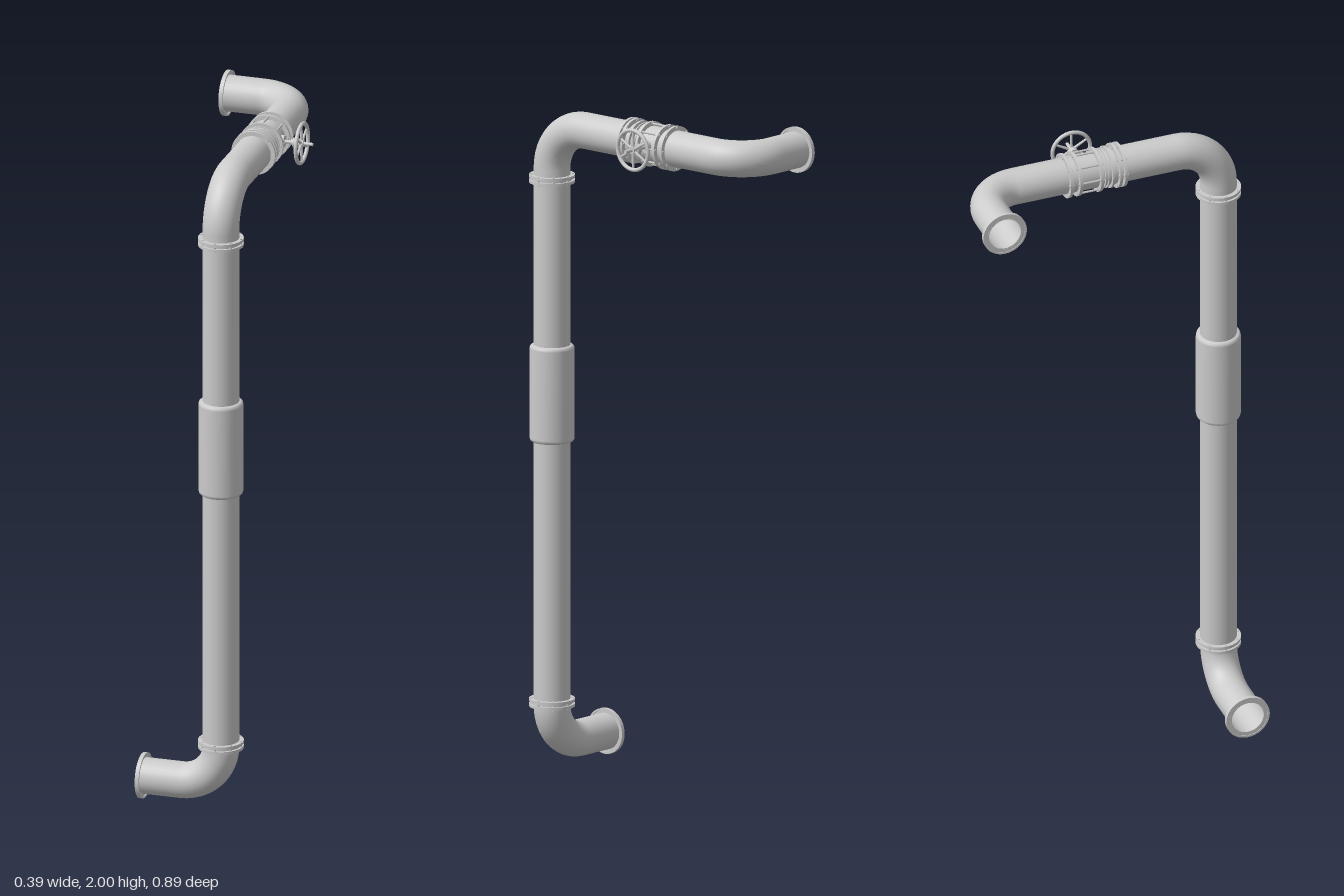
import * as THREE from 'three';

const R = 0.054;   // pipe radius
const PX = 0.046;  // x of the riser and the top run
const PZ = 0.377;  // z of the riser
const LOW = 0.07;  // height of the lower outlet
const TOP = 1.93;  // height of the top run
const mat = new THREE.MeshStandardMaterial({ color: 0xcccccc, side: THREE.DoubleSide });
const V = (x, y, z) => new THREE.Vector3(x, y, z);
const UP = V(0, 1, 0);

// Quarter bend that leaves along dirA and arrives along dirB
class Bend extends THREE.Curve {
  constructor(start, dirA, dirB, radius) {
    super();
    Object.assign(this, { start, dirA, dirB, radius });
  }
  getPoint(t, target = V(0, 0, 0)) {
    const a = t * Math.PI / 2;
    return target.copy(this.start)
      .addScaledVector(this.dirA, this.radius * Math.sin(a))
      .addScaledVector(this.dirB, this.radius * (1 - Math.cos(a)));
  }
}

function add(parent, geometry, name) {
  const mesh = new THREE.Mesh(geometry, mat);
  mesh.name = name;
  parent.add(mesh);
  return mesh;
}

// Straight open pipe between two points
function run(parent, a, b, name) {
  return add(parent, new THREE.TubeGeometry(new THREE.LineCurve3(a, b), 1, R, 32), name);
}

// Curved pipe around a corner point
function elbow(parent, corner, dirA, dirB, radius, name) {
  const start = corner.clone().addScaledVector(dirA, -radius);
  return add(parent, new THREE.TubeGeometry(new Bend(start, dirA, dirB, radius), 12, R, 32), name);
}

// Group whose local y follows dir
function along(parent, pos, dir, name) {
  const g = new THREE.Group();
  g.name = name;
  g.position.copy(pos);
  g.quaternion.setFromUnitVectors(UP, dir);
  parent.add(g);
  return g;
}

// Square-edged ring centred on local height y
function ring(parent, y, thick, ro, name, ri = R - 0.002) {
  const h = thick / 2;
  const corners = [[ri, -h], [ro, -h], [ro, h], [ri, h], [ri, -h]];
  const pts = [];
  // doubled corners keep the edges sharp
  corners.forEach(([r, v], i) => {
    const p = new THREE.Vector2(r, v + y);
    pts.push(p);
    if (i > 0 && i < 4) pts.push(p.clone());
  });
  const geometry = new THREE.LatheGeometry(pts, 40).toNonIndexed();
  // flat bands: caps take axial normals, walls take radial ones
  const pos = geometry.attributes.position, nor = geometry.attributes.normal;
  for (let i = 0; i < pos.count; i += 3) {
    const ys = [0, 1, 2].map(k => pos.getY(i + k));
    const cap = Math.max(...ys) - Math.min(...ys) < 1e-6;
    for (let k = 0; k < 3; k++) {
      const x = pos.getX(i + k), z = pos.getZ(i + k), r = Math.hypot(x, z);
      const s = r > (ri + ro) / 2 ? 1 : -1;
      if (cap) nor.setXYZ(i + k, 0, ys[k] > y ? 1 : -1, 0);
      else nor.setXYZ(i + k, s * x / r, 0, s * z / r);
    }
  }
  return add(parent, geometry, name);
}

// Circle of eight bolts or studs centred on local height y
function bolts(parent, y, length, radius, name) {
  const geometry = new THREE.CylinderGeometry(radius, radius, length, 6);
  for (let i = 0; i < 8; i++) {
    const a = i * Math.PI / 4;
    add(parent, geometry, name).position.set(0.061 * Math.cos(a), y, 0.061 * Math.sin(a));
  }
}

export function createModel() {
  const model = new THREE.Group();
  model.name = 'pipework';
  const left = V(1, 0, 0), right = V(-1, 0, 0), back = V(0, 0, -1);

  // Pipe from the lower outlet, up the riser, back along the top and out
  run(model, V(-0.195, LOW, PZ), V(PX - 0.12, LOW, PZ), 'lowerOutlet');
  elbow(model, V(PX, LOW, PZ), left, UP, 0.12, 'lowerElbow');
  run(model, V(PX, LOW + 0.12, PZ), V(PX, TOP - 0.13, PZ), 'riser');
  elbow(model, V(PX, TOP, PZ), UP, back, 0.13, 'upperElbow');
  run(model, V(PX, TOP, PZ - 0.13), V(PX, TOP, -PZ + 0.115), 'topRun');
  elbow(model, V(PX, TOP, -PZ), back, right, 0.115, 'endElbow');
  run(model, V(PX - 0.115, TOP, -PZ), V(-0.182, TOP, -PZ), 'upperOutlet');

  // Outlet flanges
  for (const [x, y, z, name] of [[-0.197, LOW, PZ, 'lowerOutletFlange'], [-0.183, TOP, -PZ, 'upperOutletFlange']]) {
    const g = along(model, V(x, y, z), left, name);
    ring(g, 0.005, 0.007, 0.067, 'flangePlate', 0.05);
    ring(g, 0.006, 0.012, 0.068, 'flangeRim', 0.062);
  }

  // Paired flanges on the riser
  for (const y of [0.198, 1.768]) {
    const g = along(model, V(PX, y, PZ), UP, 'riserJoint');
    for (const s of [-1, 1]) ring(g, s * 0.0075, 0.009, 0.067, 'jointFlange');
    ring(g, 0, 0.008, 0.06, 'gasket');
    bolts(g, 0, 0.028, 0.004, 'jointBolt');
  }

  // Sleeve with rounded shoulders
  const sleeve = [[R, 0], [0.06, 0.001], [0.0645, 0.005], [0.066, 0.012], [0.066, 0.278], [0.0645, 0.285], [0.06, 0.289], [R, 0.29]]
    .map(p => new THREE.Vector2(...p));
  add(model, new THREE.LatheGeometry(sleeve, 40), 'sleeve').position.set(PX, 0.98, PZ);

  // Valve body, local y runs toward the front
  const valve = along(model, V(PX, TOP, 0), V(0, 0, 1), 'valve');
  for (const z of [-0.104, -0.075, -0.009, 0.05, 0.066]) ring(valve, z, 0.009, 0.067, 'valveFlange');
  for (const z of [0.005, 0.015]) ring(valve, z, 0.004, 0.06, 'bellowsRing');
  ring(valve, 0.028, 0.007, 0.063, 'bellowsCollar');
  bolts(valve, -0.042, 0.076, 0.0035, 'valveStud');
  for (const z of [-0.104, -0.075, -0.009, 0.05, 0.066]) bolts(valve, z, 0.015, 0.004, 'valveBolt');

  // Handwheel on its stem, local y points outward
  const wheel = along(model, V(0, TOP + 0.005, -0.039), left, 'handwheel');
  const rod = (r, y0, y1, name) =>
    add(wheel, new THREE.CylinderGeometry(r, r, y1 - y0, 20), name).position.set(0, (y0 + y1) / 2, 0);
  rod(0.005, 0.09, 0.194, 'stem');
  rod(0.018, 0.095, 0.108, 'stemBase');
  rod(0.009, 0.128, 0.136, 'stemCollar');
  rod(0.015, 0.135, 0.151, 'hub');
  rod(0.011, 0.15, 0.166, 'hubCap');
  const rim = add(wheel, new THREE.TorusGeometry(0.059, 0.006, 12, 48), 'wheelRim');
  rim.rotation.x = Math.PI / 2;
  rim.position.y = 0.16;
  const spoke = new THREE.CylinderGeometry(0.0035, 0.0045, 0.052, 8);
  spoke.translate(0, 0.031, 0);
  for (let i = 0; i < 6; i++) {
    const a = i * Math.PI / 3;
    const m = add(wheel, spoke, 'spoke');
    m.position.y = 0.159;
    m.quaternion.setFromUnitVectors(UP, V(Math.cos(a), 0, Math.sin(a)));
  }
  return model;
}
